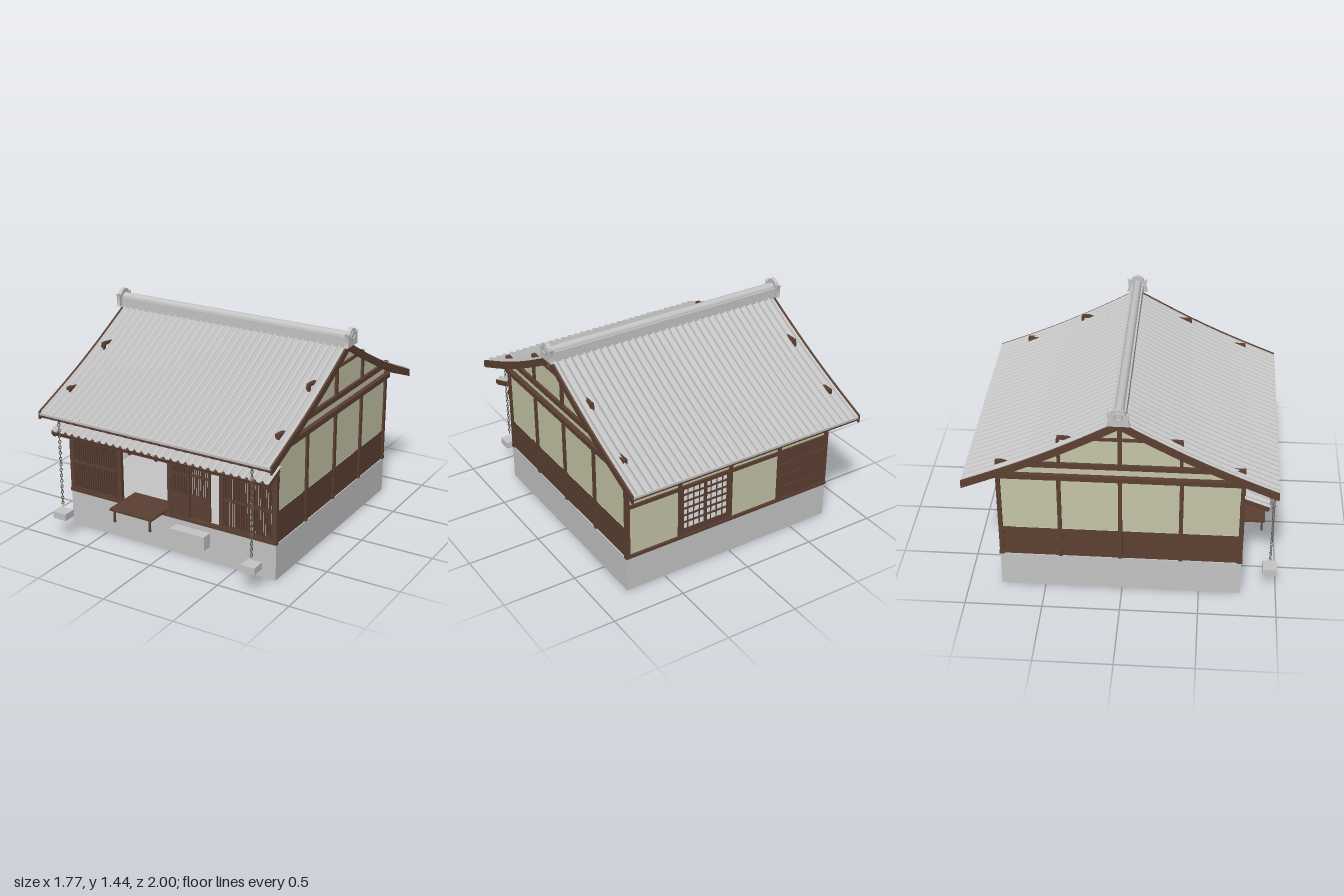
import * as THREE from 'three';

const mat = (name, color, side = THREE.FrontSide) => {
  const m = new THREE.MeshStandardMaterial({ color, side });
  m.name = name;
  return m;
};

export function createModel() {
  const wood = mat('dark wood', 0x5c4033);
  const plaster = mat('plaster', 0xc5c5a8);
  const stone = mat('stone', 0xc4c4c4);
  const tile = mat('roof tile', 0xc0c0c0, THREE.DoubleSide);
  const paper = mat('paper', 0xe4e4e6, THREE.DoubleSide);
  const metal = mat('chain metal', 0x6a6558);

  const root = new THREE.Group();
  root.name = 'house';
  const house = new THREE.Group();
  house.name = 'building';
  house.position.z = -0.01;
  root.add(house);

  const add = (name, geo, m, parent = house) => {
    const mesh = new THREE.Mesh(geo, m);
    mesh.name = name;
    parent.add(mesh);
    return mesh;
  };
  // box given by its ranges
  const box = (name, m, x0, x1, y0, y1, z0, z1) => {
    const g = new THREE.BoxGeometry(x1 - x0, y1 - y0, z1 - z0);
    g.translate((x0 + x1) / 2, (y0 + y1) / 2, (z0 + z1) / 2);
    return add(name, g, m);
  };
  const W = 0.78, D = 0.778, F = 0.245;
  const bays = [-0.767, -0.385, 0, 0.385, 0.767];

  // foundation: hollow ring with a floor
  for (const s of [-1, 1]) {
    box('foundationLong', stone, -W, W, 0, F, s * (D - 0.005) - 0.005, s * (D - 0.005) + 0.005);
    box('foundationSide', stone, s * (W - 0.005) - 0.005, s * (W - 0.005) + 0.005, 0, F, -D + 0.01, D - 0.01);
  }
  box('floor', stone, -W + 0.01, W - 0.01, F - 0.01, F, -D + 0.01, D - 0.01);

  // main roof: gently sagging slope, symmetrical about the ridge
  const EAVE = 0.985;
  const roofY = z => {
    const t = Math.abs(z) / EAVE;
    return 1.337 - 0.477 * t - 0.024 * Math.sin(Math.PI * Math.min(t, 1));
  };
  const band = (name, m, top, bottom, x, width) => {
    const up = [], down = [];
    for (let i = -10; i <= 10; i++) {
      const z = (i / 10) * EAVE;
      up.push(new THREE.Vector2(z, roofY(z) + top));
      down.unshift(new THREE.Vector2(z, roofY(z) + bottom));
    }
    const g = new THREE.ExtrudeGeometry(new THREE.Shape([...up, ...down]), { depth: width, bevelEnabled: false });
    g.translate(0, 0, -width / 2).rotateY(-Math.PI / 2).translate(x, 0, 0);
    add(name, g, m);
  };
  // rippled tile sheet following a slope
  const tileSheet = (name, width, count, steps, slope) => {
    const g = new THREE.PlaneGeometry(width, 1, count * 8, steps);
    const p = g.attributes.position;
    for (let i = 0; i < p.count; i++) {
      const [z, y] = slope(0.5 - p.getY(i));
      const u = ((i % (count * 8 + 1)) % 8) / 8;
      const h = u < 0.5 ? 0.014 * Math.sin(u * 2 * Math.PI) : 0.004 * Math.sin(u * 2 * Math.PI);
      p.setXYZ(i, p.getX(i), y + h, z);
    }
    g.computeVertexNormals();
    return add(name, g, tile);
  };
  band('roofDeck', tile, -0.005, -0.02, 0, 1.7);
  for (const s of [-1, 1]) {
    band('bargeBoard', wood, 0.004, -0.048, s * 0.853, 0.014);
    const sheet = tileSheet('roofTiles', 1.69, 33, 10, t => [t * EAVE, roofY(t * EAVE)]);
    if (s < 0) sheet.rotation.y = Math.PI;
    box('eaveBoard', wood, -0.85, 0.85, 0.822, 0.845, s * 0.968 - 0.008, s * 0.968 + 0.008);
    // rafters under the eaves
    for (let i = 0; i < 27; i++) {
      const r = add('rafter', new THREE.BoxGeometry(0.022, 0.025, 0.25), wood);
      r.position.set(-0.83 + i * 1.66 / 26, roofY(0.86) - 0.034, s * 0.86);
      r.rotation.x = s * Math.atan((roofY(0.74) - roofY(0.98)) / 0.24);
    }
  }

  // ridge with end ornaments
  box('ridgeBase', stone, -0.86, 0.86, 1.315, 1.385, -0.042, 0.042);
  const cap = add('ridgeCap', new THREE.CylinderGeometry(0.03, 0.03, 1.74, 12), stone);
  cap.rotation.z = Math.PI / 2;
  cap.position.y = 1.383;
  const orn = new THREE.Shape();
  orn.moveTo(-0.07, 1.325);
  orn.lineTo(0.07, 1.325);
  orn.quadraticCurveTo(0.055, 1.36, 0.07, 1.415);
  orn.lineTo(0.045, 1.402);
  orn.absarc(0, 1.395, 0.046, 0.15, Math.PI - 0.15, false);
  orn.lineTo(-0.07, 1.415);
  orn.quadraticCurveTo(-0.055, 1.36, -0.07, 1.325);
  for (const s of [-1, 1]) {
    const g = new THREE.ExtrudeGeometry(orn, { depth: 0.026, bevelEnabled: false });
    g.translate(0, 0, -0.013).rotateY(-Math.PI / 2).translate(s * 0.867, 0, 0);
    add('ridgeOrnament', g, stone);
    const ring = add('ridgeRing', new THREE.TorusGeometry(0.024, 0.006, 6, 16), stone);
    ring.rotation.y = Math.PI / 2;
    ring.position.set(s * 0.88, 1.392, 0);
  }

  // gable walls and their timber frame
  const gable = [new THREE.Vector2(-D, 0.46), new THREE.Vector2(D, 0.46)];
  for (let i = 10; i >= -10; i--) gable.push(new THREE.Vector2(D * i / 10, roofY(D * i / 10) - 0.02));
  for (const s of [-1, 1]) {
    add('gableWall', new THREE.ShapeGeometry(new THREE.Shape(gable)).rotateY(s * Math.PI / 2).translate(s * 0.77, 0, 0), plaster);
    add('gableWainscot', new THREE.PlaneGeometry(2 * D, 0.46 - F).rotateY(s * Math.PI / 2).translate(s * 0.773, (0.46 + F) / 2, 0), wood);
    const beam = (name, z0, z1, y0, y1, out = 0.79) =>
      box(name, wood, Math.min(s * 0.76, s * out), Math.max(s * 0.76, s * out), y0, y1, z0, z1);
    for (const z of bays) beam('sidePost', z - 0.013, z + 0.013, F, 0.87, 0.783);
    beam('sideBeam', -0.785, 0.785, 0.855, 0.89, 0.8);
    beam('tieBeam', -0.775, 0.775, 0.943, 0.977, 0.79);
    beam('collarBeam', -0.385, 0.385, 1.153, 1.17, 0.785);
    beam('kingPost', -0.014, 0.014, 0.97, 1.31, 0.785);
    for (const z of [-0.38, 0.38]) beam('strut', z - 0.01, z + 0.01, 0.97, 1.155, 0.785);
  }

  // corner and bay posts, upper walls and long beams
  for (const s of [-1, 1]) {
    const slab = (name, m, x0, x1, y0, y1, a, b) =>
      box(name, m, x0, x1, y0, y1, Math.min(s * a, s * b), Math.max(s * a, s * b));
    for (const x of bays) slab('post', wood, x - 0.013, x + 0.013, F, 0.9, 0.752, 0.78);
    slab('sill', wood, -0.785, 0.785, F, 0.266, 0.755, 0.785);
    slab('wallPlate', wood, -0.785, 0.785, 0.855, 0.89, 0.75, 0.785);
    slab('upperWall', plaster, -0.77, 0.77, 0.64, 0.94, 0.762, 0.77);
  }
  box('frontLintel', wood, -0.785, 0.785, 0.662, 0.7, 0.75, 0.787);

  // grid of vertical bars and rails
  const lattice = (name, x0, x1, y0, y1, z, cols, rails, w = 0.008, d = 0.016) => {
    for (let i = 0; i <= cols; i++) {
      const x = x0 + (x1 - x0) * i / cols;
      box(name + 'Bar', wood, x - w / 2, x + w / 2, y0, y1, z - d / 2, z + d / 2);
    }
    for (const y of rails) box(name + 'Rail', wood, x0, x1, y - w, y + w, z - d / 2 - 0.002, z + d / 2 + 0.002);
  };

  // front latticed windows
  for (const s of [-1, 1]) {
    const c = s * 0.576;
    lattice('window', c - 0.175, c + 0.175, 0.266, 0.662, 0.775, 19, [0.275, 0.465, 0.652]);
    box('windowPaper', paper, c - 0.18, c + 0.18, 0.266, 0.662, 0.748, 0.752);
  }
  // front sliding doors, half open
  [[0.014, 0.15, 0.77], [0.138, 0.295, 0.755]].forEach(([x0, x1, z]) => {
    box('doorPanel', wood, x0, x1, 0.266, 0.415, z - 0.006, z + 0.006);
    box('doorTop', wood, x0, x1, 0.642, 0.664, z - 0.006, z + 0.006);
    for (const x of [x0, x1 - 0.014]) box('doorStile', wood, x, x + 0.014, 0.266, 0.664, z - 0.008, z + 0.008);
    lattice('door', x0 + 0.014, x1 - 0.014, 0.41, 0.645, z, 8, [0.42, 0.56], 0.007, 0.01);
    box('doorPaper', paper, x0 + 0.012, x1 - 0.012, 0.41, 0.645, z - 0.01, z - 0.007);
  });
  box('doorRail', wood, 0.295, 0.375, 0.617, 0.635, 0.75, 0.77);

  // open bay: shelves and bench
  box('shelfUpper', wood, -0.36, -0.035, 0.465, 0.474, -0.76, -0.62);
  box('shelfLower', wood, -0.36, -0.035, 0.36, 0.369, -0.76, -0.62);
  box('benchTop', wood, -0.36, -0.035, 0.262, 0.276, 0.645, 0.935);
  for (const x of [-0.333, -0.06]) box('benchLeg', wood, x - 0.006, x + 0.006, 0.18, 0.265, 0.91, 0.922);

  // back wall bays
  for (let i = 0; i < 4; i++) {
    const x0 = bays[i], x1 = bays[i + 1];
    if (i !== 2) box('backWall', plaster, x0, x1, F, 0.65, -0.77, -0.762);
    box('backRail', wood, x0, x1, 0.612, 0.638, -0.781, -0.758);
  }
  box('screenPaper', paper, 0.01, 0.375, 0.3, 0.62, -0.77, -0.764);
  box('screenFoot', wood, 0.01, 0.375, F, 0.31, -0.776, -0.76);
  lattice('screen', 0.018, 0.368, 0.3, 0.615, -0.771, 8, [0.36, 0.412, 0.464, 0.516, 0.568], 0.006, 0.008);
  for (const x of [0.018, 0.193, 0.368]) box('screenStile', wood, x - 0.01, x + 0.01, 0.26, 0.62, -0.78, -0.762);
  box('shutter', wood, -0.76, -0.39, 0.26, 0.615, -0.776, -0.765);
  for (const y of [0.35, 0.44, 0.53]) box('shutterBatten', wood, -0.755, -0.395, y - 0.005, y + 0.005, -0.782, -0.775);
  box('shutterStile', wood, -0.582, -0.57, 0.26, 0.615, -0.782, -0.775);

  // small pent roof over the front
  tileSheet('pentTiles', 1.62, 30, 2, t => [0.775 + t * 0.16, 0.783 - t * 0.06]);
  const pent = add('pentDeck', new THREE.BoxGeometry(1.6, 0.014, 0.17), wood);
  pent.position.set(0, 0.741, 0.855);
  pent.rotation.x = Math.atan(0.06 / 0.16);
  box('pentEave', wood, -0.805, 0.805, 0.695, 0.722, 0.915, 0.93);
  for (let i = 0; i < 9; i++) {
    const r = add('pentRafter', new THREE.BoxGeometry(0.018, 0.025, 0.16), wood);
    r.position.set(-0.79 + i * 1.58 / 8, 0.723, 0.852);
    r.rotation.x = pent.rotation.x;
  }

  // stepping stone, rain chains and their basins
  box('stepStone', stone, 0.06, 0.315, 0.12, 0.215, 0.795, 0.87);
  for (const s of [-1, 1]) {
    box('basinStone', stone, s * 0.712 - 0.049, s * 0.712 + 0.049, 0.14, 0.187, 0.92, 1.01);
    for (let i = 0; i < 30; i++) {
      const link = add('rainChainLink', new THREE.TorusGeometry(0.008, 0.003, 4, 8), metal);
      link.position.set(s * 0.714, 0.243 + i * 0.0197, 0.965);
      link.rotation.y = (i % 2) * Math.PI / 2 + Math.PI / 4;
      link.scale.y = 1.25;
    }
  }
  return root;
}
